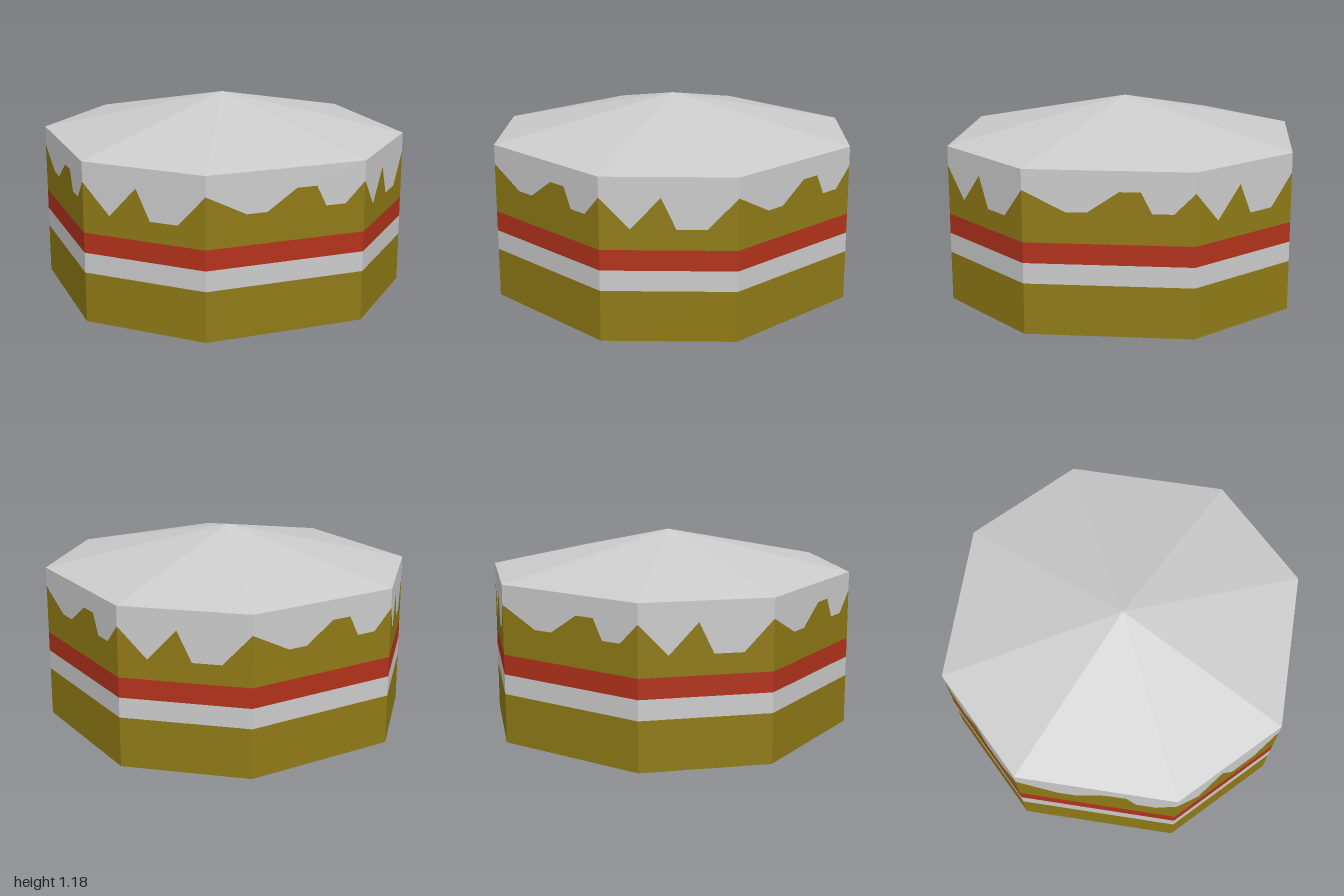
import * as THREE from 'three';

const EDGE = 0.47; // half length of the four main sides
const EAVE = 0.94;
const APEX = 1.18;

const material = (color) =>
  new THREE.MeshStandardMaterial({ color, flatShading: true, side: THREE.DoubleSide });
const cream = material(0xcccccc);
const sponge = material(0x8f7a16);
const jam = material(0xb3321b);

// Icing drip lines: [fraction along the side, height]
const MAIN_DRIP = [[0, 0.824], [0.25, 0.706], [0.375, 0.706], [0.5625, 0.824],
  [0.6875, 0.824], [0.75, 0.706], [0.875, 0.706], [1, 0.824]];
const CORNER_DRIP = [[0, 0.824], [0.222, 0.647], [0.444, 0.824], [0.556, 0.647],
  [0.778, 0.647], [1, 0.824]];

const level = (y) => [[0, y], [1, y]];

// Flat panel between a lower and an upper outline
function panel(name, lower, upper, half, mat) {
  const points = [...lower, ...[...upper].reverse()]
    .map(([t, y]) => new THREE.Vector2((2 * t - 1) * half, y));
  const mesh = new THREE.Mesh(new THREE.ShapeGeometry(new THREE.Shape(points)), mat);
  mesh.name = name;
  return mesh;
}

// One striped side, facing outward at the given angle
function side(index) {
  const corner = index % 2 === 1;
  const half = corner ? (1 - EDGE) / Math.SQRT2 : EDGE;
  const distance = corner ? (1 + EDGE) / Math.SQRT2 : 1;
  const drip = corner ? CORNER_DRIP : MAIN_DRIP;
  const panels = new THREE.Group();
  panels.add(
    panel('lowerSponge', level(0), level(0.294), half, sponge),
    panel('creamLayer', level(0.294), level(0.412), half, cream),
    panel('jamLayer', level(0.412), level(0.53), half, jam),
    panel('upperSponge', level(0.53), drip, half, sponge),
    panel('icingDrip', drip, level(EAVE), half, cream),
  );
  const angle = index * Math.PI / 4;
  panels.name = corner ? 'cornerSide' : 'mainSide';
  panels.position.set(Math.sin(angle) * distance, 0, Math.cos(angle) * distance);
  panels.rotation.y = angle;
  return panels;
}

// Low eight-sided pyramid over the unequal octagon
function icingTop() {
  const ring = [[-EDGE, 1], [EDGE, 1], [1, EDGE], [1, -EDGE],
    [EDGE, -1], [-EDGE, -1], [-1, -EDGE], [-1, EDGE]];
  const positions = [];
  ring.forEach(([x, z], i) => {
    const [nx, nz] = ring[(i + 1) % ring.length];
    positions.push(x, EAVE, z, nx, EAVE, nz, 0, APEX, 0);
  });
  const geometry = new THREE.BufferGeometry();
  geometry.setAttribute('position', new THREE.Float32BufferAttribute(positions, 3));
  geometry.computeVertexNormals();
  const mesh = new THREE.Mesh(geometry, cream);
  mesh.name = 'icingTop';
  return mesh;
}

export function createModel() {
  const cake = new THREE.Group();
  cake.name = 'layerCake';
  for (let i = 0; i < 8; i++) cake.add(side(i));
  cake.add(icingTop());
  return cake;
}
